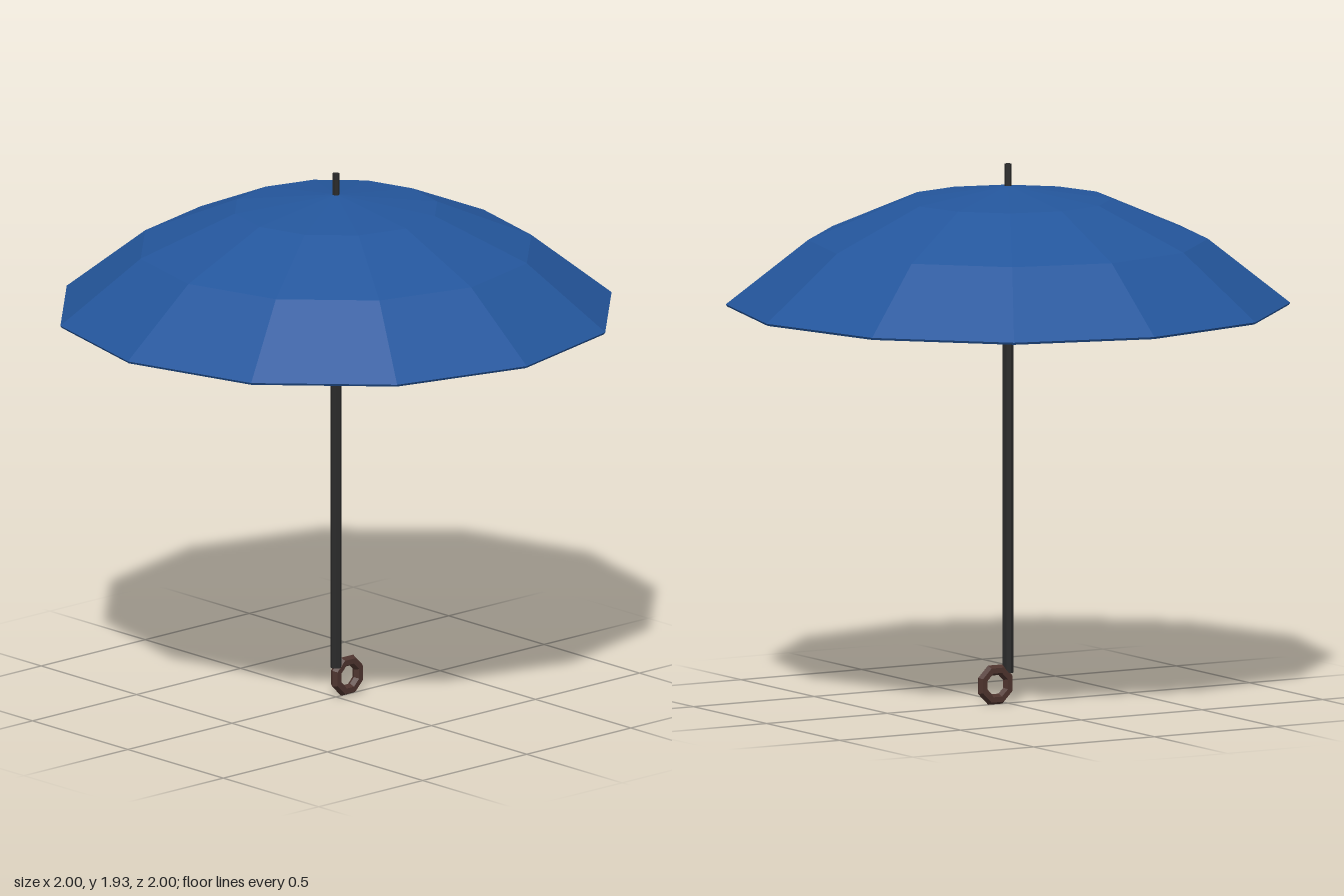
import * as THREE from 'three';

export function createModel() {
  const model = new THREE.Group();
  model.name = 'umbrella';

  const material = (name, color) => {
    const m = new THREE.MeshStandardMaterial({ color, flatShading: true });
    m.name = name;
    return m;
  };
  const blue = material('canopy blue', 0x24569c);
  const black = material('shaft black', 0x2a2a2a);
  const brown = material('handle brown', 0x4e342e);

  const add = (name, geometry, mat, x, y) => {
    const mesh = new THREE.Mesh(geometry, mat);
    mesh.name = name;
    mesh.position.set(x, y, 0);
    model.add(mesh);
    return mesh;
  };

  // Canopy: twelve-sided cap of a sphere, closed by a thin flat underside
  const sides = 12, spread = 0.8, rimY = 1.43;
  const radius = 1 / Math.sin(spread);
  add('canopy', new THREE.SphereGeometry(radius, sides, 3, 0, Math.PI * 2, 0, spread),
    blue, 0, rimY - radius * Math.cos(spread));
  add('canopyUnderside', new THREE.CylinderGeometry(1, 0.995, 0.008, sides), blue, 0, rimY - 0.004);

  // Shaft and the tip above the canopy
  add('shaft', new THREE.CylinderGeometry(0.02, 0.02, 1.34, 8), black, 0, 0.11 + 0.67);
  add('tip', new THREE.CylinderGeometry(0.013, 0.013, 0.12, 6), black, 0, 1.87);

  // Ring handle, offset to one side of the shaft
  const handle = add('handle', new THREE.TorusGeometry(0.056, 0.02, 6, 8), brown, 0.053, 0.0705);
  handle.rotation.z = Math.PI / 8;

  return model;
}
